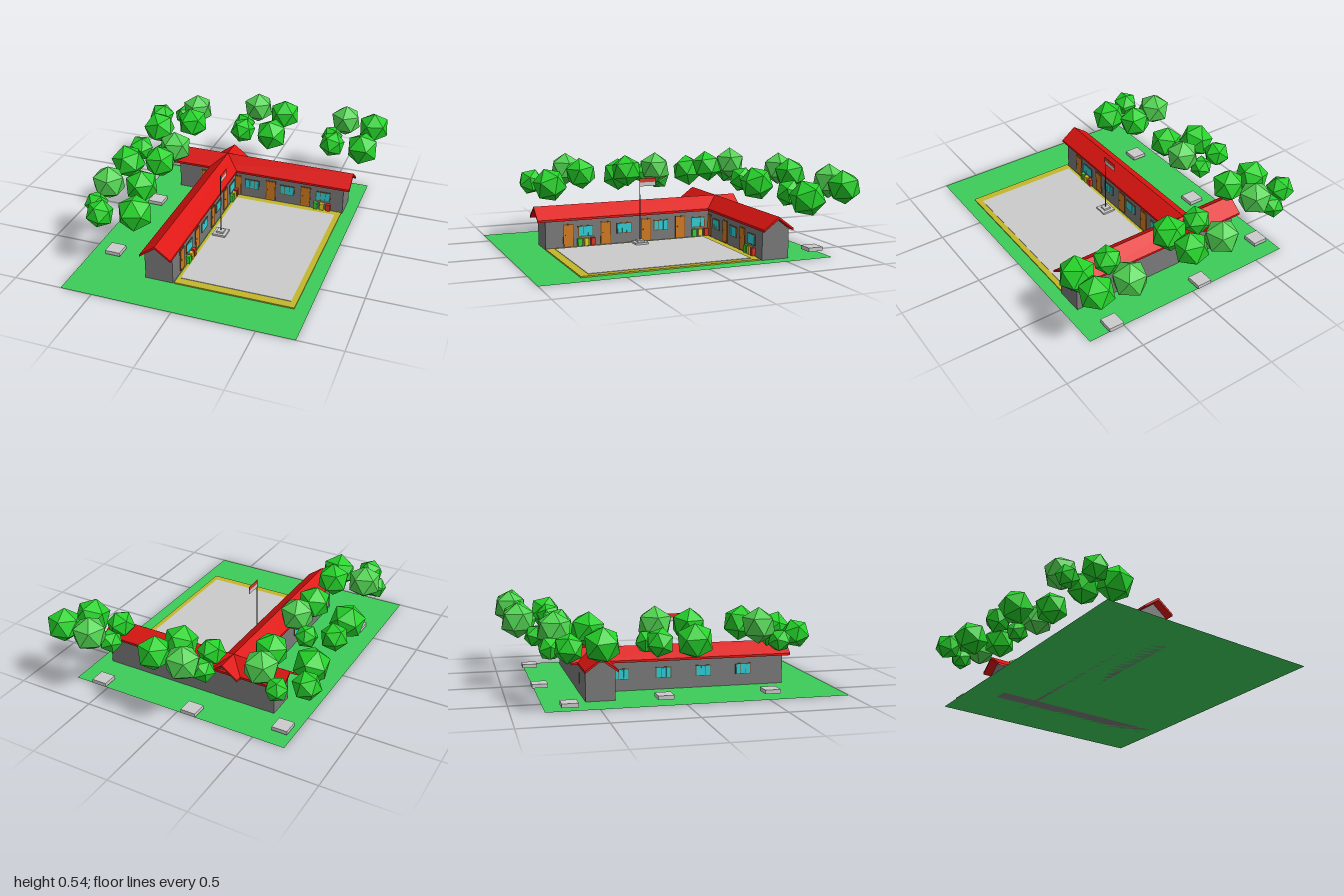
import * as THREE from 'three';

const mat = (color, extra = {}) => new THREE.MeshStandardMaterial({ color, flatShading: true, ...extra });
const M = {
  grass: mat(0x3ccc58, { side: THREE.DoubleSide }), border: mat(0xc4b82c), stone: mat(0xcccccc),
  wall: mat(0x7a7a7a), roof: mat(0xdd1410), door: mat(0xd07a20), frame: mat(0x7a4a18), glass: mat(0x30cfd8),
  pole: mat(0x444444), red: mat(0xdd3322), yellow: mat(0xe0d020), green: mat(0x2fd52f),
  leaf: mat(0x25d32a), paleLeaf: mat(0x52d452),
};

function add(parent, name, geometry, material, x = 0, y = 0, z = 0) {
  const mesh = new THREE.Mesh(geometry, material);
  mesh.name = name;
  mesh.position.set(x, y, z);
  parent.add(mesh);
  return mesh;
}

// Box centred on x and z, standing on height y
const box = (parent, name, material, w, h, d, x, y, z) =>
  add(parent, name, new THREE.BoxGeometry(w, h, d), material, x, y + h / 2, z);

function group(parent, name, x = 0, z = 0, turn = 0) {
  const g = new THREE.Group();
  g.name = name;
  g.position.set(x, 0, z);
  g.rotation.y = turn;
  parent.add(g);
  return g;
}

// Profile in x and y, extruded along z from z0 to z1
function prism(points, z0, z1) {
  const shape = new THREE.Shape(points.map(([x, y]) => new THREE.Vector2(x, y)));
  return new THREE.ExtrudeGeometry(shape, { depth: z1 - z0, bevelEnabled: false }).translate(0, 0, z0);
}

// Gabled wing running along its own z
function wing(parent, name, x, z, turn, wallEnds, roofEnds) {
  const g = group(parent, name, x, z, turn);
  const w = 0.088, e = 0.098;
  add(g, 'walls', prism([[-w, 0], [w, 0], [w, 0.181], [0, 0.246], [-w, 0.181]], ...wallEnds), M.wall);
  add(g, 'roof', prism([[-e, 0.176], [0, 0.248], [e, 0.176], [e, 0.19], [0, 0.263], [-e, 0.19]], ...roofEnds), M.roof);
}

function door(parent, x) {
  const g = group(parent, 'door', x);
  box(g, 'doorFrame', M.frame, 0.068, 0.142, 0.006, 0, 0.012, 0);
  box(g, 'doorLeaf', M.door, 0.058, 0.136, 0.01, 0, 0.012, 0);
  add(g, 'doorKnob', new THREE.SphereGeometry(0.004, 8, 6), M.frame, -0.02, 0.085, 0.006);
}

function windowUnit(parent, x) {
  const g = group(parent, 'window', x);
  box(g, 'windowFrame', M.frame, 0.1, 0.068, 0.008, 0, 0.07, 0);
  for (const i of [-1, 0, 1]) box(g, 'windowPane', M.glass, 0.028, 0.058, 0.012, i * 0.0305, 0.075, 0);
}

// Green, yellow and red planters in a row
function planters(parent, x) {
  ['green', 'yellow', 'red'].forEach((c, i) =>
    box(parent, c + 'Planter', M[c], 0.028, 0.048, 0.022, x + (i - 1) * 0.043, 0.012, 0.014));
}

// Paved slab ringed by five faceted tree crowns: x, y, z, radius
const CROWNS = [
  [-0.03, 0.43, -0.125, 0.108], [0.17, 0.42, -0.105, 0.106], [0.146, 0.365, 0.13, 0.112],
  [-0.06, 0.365, 0.135, 0.087], [-0.10, 0.345, -0.025, 0.073],
];
function grove(parent, x, z, turn) {
  const g = group(parent, 'grove', x, z);
  box(g, 'pavingSlab', M.stone, 0.097, 0.024, 0.097, 0, 0.012, 0);
  const trees = group(g, 'trees', 0, 0, -turn);
  CROWNS.forEach(([cx, cy, cz, r], i) => {
    const crown = add(trees, 'treeCrown', new THREE.IcosahedronGeometry(r, 0), i ? M.leaf : M.paleLeaf, cx, cy, cz);
    crown.rotation.set(0.25 * i, 0.9 * i + 0.3, 0.55 - 0.1 * i);
  });
}

export function createModel() {
  const model = new THREE.Group();
  model.name = 'courtyardBuilding';

  // Lawn and paved courtyard
  add(model, 'lawn', new THREE.PlaneGeometry(1.43, 1.81).rotateX(-Math.PI / 2), M.grass, 0.015, 0, 0.095);
  box(model, 'courtyardBorder', M.border, 0.735, 0.008, 1.11, 0.277, 0.001, 0.183);
  box(model, 'courtyard', M.stone, 0.68, 0.006, 1.01, 0.27, 0.006, 0.18);

  // Two crossing wings
  wing(model, 'sideWing', -0.187, 0, 0, [-0.555, 0.735], [-0.605, 0.785]);
  wing(model, 'backWing', 0, -0.466, Math.PI / 2, [-0.505, 0.65], [-0.56, 0.69]);

  // Courtyard face of the back wing
  const backFace = group(model, 'backWingFace', 0, -0.378);
  for (const x of [-0.312, -0.09, 0.152, 0.395]) door(backFace, x);
  for (const x of [0.02, 0.267, 0.515]) windowUnit(backFace, x);
  planters(backFace, 0.513);

  // Courtyard face of the side wing
  const sideFace = group(model, 'sideWingFace', -0.099, 0, Math.PI / 2);
  for (const z of [0.588, 0.342, 0.068, -0.172]) door(sideFace, -z);
  const windowZ = [0.476, 0.218, -0.035, -0.3];
  for (const z of windowZ) windowUnit(sideFace, -z);
  planters(sideFace, -0.475);
  planters(sideFace, 0.31);

  // Outer face of the side wing
  const outerFace = group(model, 'outerFace', -0.275, 0, -Math.PI / 2);
  for (const z of windowZ) windowUnit(outerFace, z);

  // Flagpole on a stepped base
  const flag = group(model, 'flagpole', -0.017, 0.14);
  box(flag, 'lowerStep', M.stone, 0.086, 0.014, 0.086, 0, 0.01, 0);
  box(flag, 'upperStep', M.stone, 0.046, 0.012, 0.046, 0, 0.024, 0);
  add(flag, 'pole', new THREE.CylinderGeometry(0.003, 0.003, 0.4, 8), M.pole, 0, 0.23, 0);
  box(flag, 'flagTop', M.red, 0.003, 0.025, 0.105, 0, 0.403, -0.053);
  box(flag, 'flagBottom', M.stone, 0.003, 0.025, 0.105, 0, 0.378, -0.053);

  // Groves around the back and side
  const deg = Math.PI / 180;
  grove(model, -0.08, -0.775, 0);
  grove(model, 0.555, -0.775, 0);
  grove(model, -0.62, -0.665, 73 * deg);
  grove(model, -0.557, -0.097, 90 * deg);
  grove(model, -0.557, 0.555, -20 * deg);
  return model;
}
